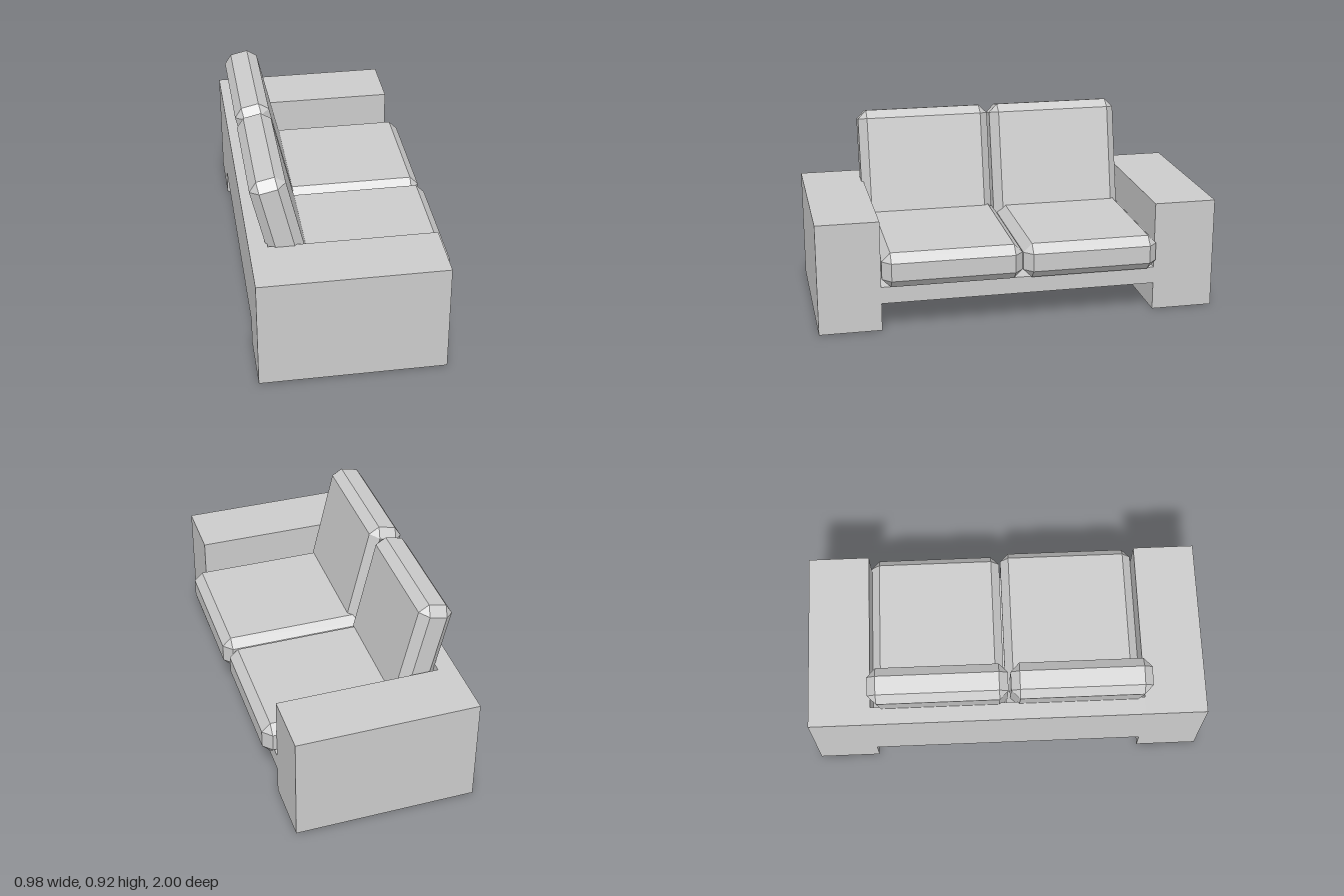
import * as THREE from 'three';
import { ConvexGeometry } from 'three/addons/geometries/ConvexGeometry.js';

const material = new THREE.MeshStandardMaterial({ color: 0xcccccc, flatShading: true });

// Box given by its extents on each axis
function box(name, [x0, x1], [y0, y1], [z0, z1]) {
  const mesh = new THREE.Mesh(new THREE.BoxGeometry(x1 - x0, y1 - y0, z1 - z0), material);
  mesh.position.set((x0 + x1) / 2, (y0 + y1) / 2, (z0 + z1) / 2);
  mesh.name = name;
  return mesh;
}

// Padded block: a box with every edge and corner chamfered
function cushion(name, size, position, tilt = 0, chamfer = 0.043) {
  const points = [];
  for (const sx of [-1, 1]) for (const sy of [-1, 1]) for (const sz of [-1, 1]) {
    for (let outer = 0; outer < 3; outer++) {
      const p = [sx, sy, sz].map((s, i) => s * (size[i] / 2 - (i === outer ? 0 : chamfer)));
      points.push(new THREE.Vector3(...p));
    }
  }
  const mesh = new THREE.Mesh(new ConvexGeometry(points), material);
  mesh.position.set(...position);
  mesh.rotation.z = tilt;
  mesh.name = name;
  return mesh;
}

export function createModel() {
  const sofa = new THREE.Group();
  sofa.name = 'sofa';
  const depth = [-0.49, 0.415];

  // Frame: two block arms that reach the floor, raised base and back panel
  sofa.add(box('leftArm', depth, [0, 0.56], [0.69, 1]));
  sofa.add(box('rightArm', depth, [0, 0.56], [-1, -0.69]));
  sofa.add(box('base', depth, [0.14, 0.225], [-0.69, 0.69]));
  sofa.add(box('backPanel', [-0.49, -0.4], [0.225, 0.56], [-0.69, 0.69]));

  // Seat cushions, placed slightly unevenly
  sofa.add(cushion('seatCushionLeft', [0.89, 0.176, 0.695], [0.045, 0.323, 0.342]));
  sofa.add(cushion('seatCushionRight', [0.88, 0.176, 0.68], [0.037, 0.316, -0.352]));

  // Back cushions leaning towards the back panel
  const lean = THREE.MathUtils.degToRad(13);
  sofa.add(cushion('backCushionLeft', [0.175, 0.69, 0.685], [-0.322, 0.574, 0.358], lean));
  sofa.add(cushion('backCushionRight', [0.175, 0.69, 0.68], [-0.322, 0.574, -0.338], lean));

  return sofa;
}
